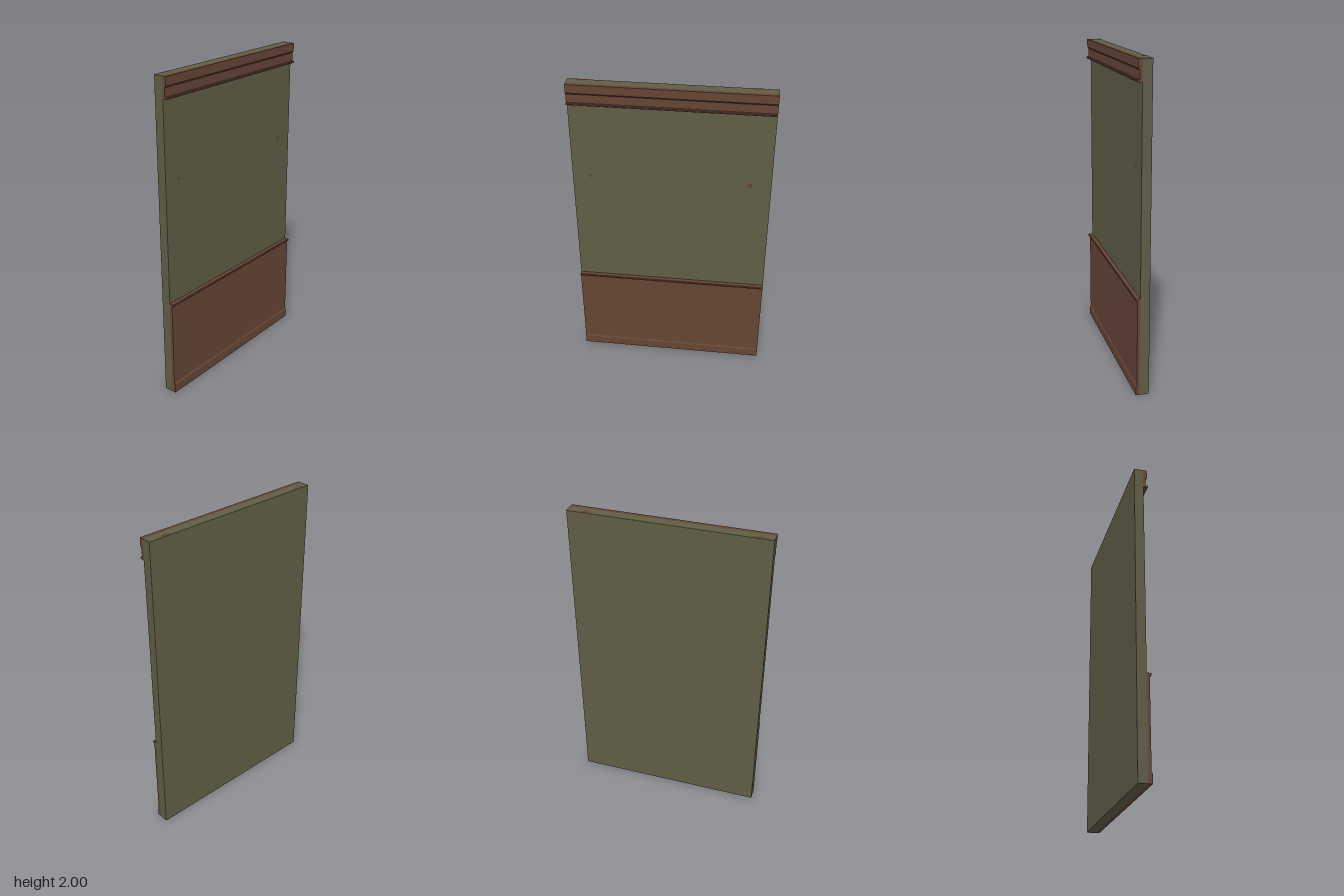
import * as THREE from 'three';

const HALF = 0.605;  // half of the panel's width along z
const FACE = 0.015;  // x of the painted wall face
const BACK = -0.043;

export function createModel() {
  const group = new THREE.Group();
  const paint = new THREE.MeshStandardMaterial({ color: 0x5f5d45 });
  paint.name = 'olive paint';
  const wood = new THREE.MeshStandardMaterial({ color: 0x654535 });
  wood.name = 'brown wood';

  const add = (name, geometry, material) => {
    const mesh = new THREE.Mesh(geometry, material);
    mesh.name = name;
    group.add(mesh);
    return mesh;
  };

  // Moulding: an x-y section swept along the whole width
  const moulding = (name, points) => {
    const shape = new THREE.Shape(points.map(([x, y]) => new THREE.Vector2(x, y)));
    const geometry = new THREE.ExtrudeGeometry(shape, { depth: HALF * 2, bevelEnabled: false });
    geometry.translate(0, 0, -HALF);
    add(name, geometry, wood);
  };

  // Wall slab
  const slab = new THREE.BoxGeometry(FACE - BACK, 2, HALF * 2);
  slab.translate((FACE + BACK) / 2, 1, 0);
  add('wallSlab', slab, paint);

  // Lower panelling with skirting board and chair rail
  moulding('skirtingBoard', [[FACE, 0], [0.038, 0], [0.038, 0.055], [0.032, 0.065], [FACE, 0.065]]);
  moulding('lowerPanel', [[FACE, 0.065], [0.032, 0.065], [0.032, 0.61], [FACE, 0.61]]);
  moulding('chairRail', [[FACE, 0.61], [0.040, 0.61], [0.043, 0.613], [0.043, 0.622],
    [0.040, 0.625], [FACE, 0.625]]);

  // Upper frieze with picture rail and crown
  moulding('pictureRail', [[FACE, 1.873], [0.040, 1.873], [0.043, 1.876], [0.043, 1.883],
    [0.040, 1.886], [FACE, 1.886]]);
  moulding('frieze', [[FACE, 1.886], [0.030, 1.886], [0.030, 1.938], [FACE, 1.938]]);
  moulding('crown', [[FACE, 1.938], [0.030, 1.938], [0.038, 1.948], [0.038, 2], [FACE, 2]]);

  // Small worn spots on the wall face
  for (const [z, size] of [[0.497, 0.012], [-0.477, 0.017]]) {
    const spot = add('wallSpot', new THREE.CircleGeometry(size, 7), wood);
    spot.rotation.y = Math.PI / 2;
    spot.position.set(FACE + 0.001, 1.39, z);
  }

  // Worn spots on the top edge, cut off by the back edge
  for (const [z, length, depth] of [[-0.489, 0.032, 0.028], [0.525, 0.039, 0.023]]) {
    const shape = new THREE.Shape();
    shape.absellipse(0, 0, depth, length, -Math.PI / 2, Math.PI / 2);
    const spot = add('topSpot', new THREE.ShapeGeometry(shape, 5), wood);
    spot.rotation.x = -Math.PI / 2;
    spot.position.set(BACK, 2.001, z);
  }

  return group;
}
